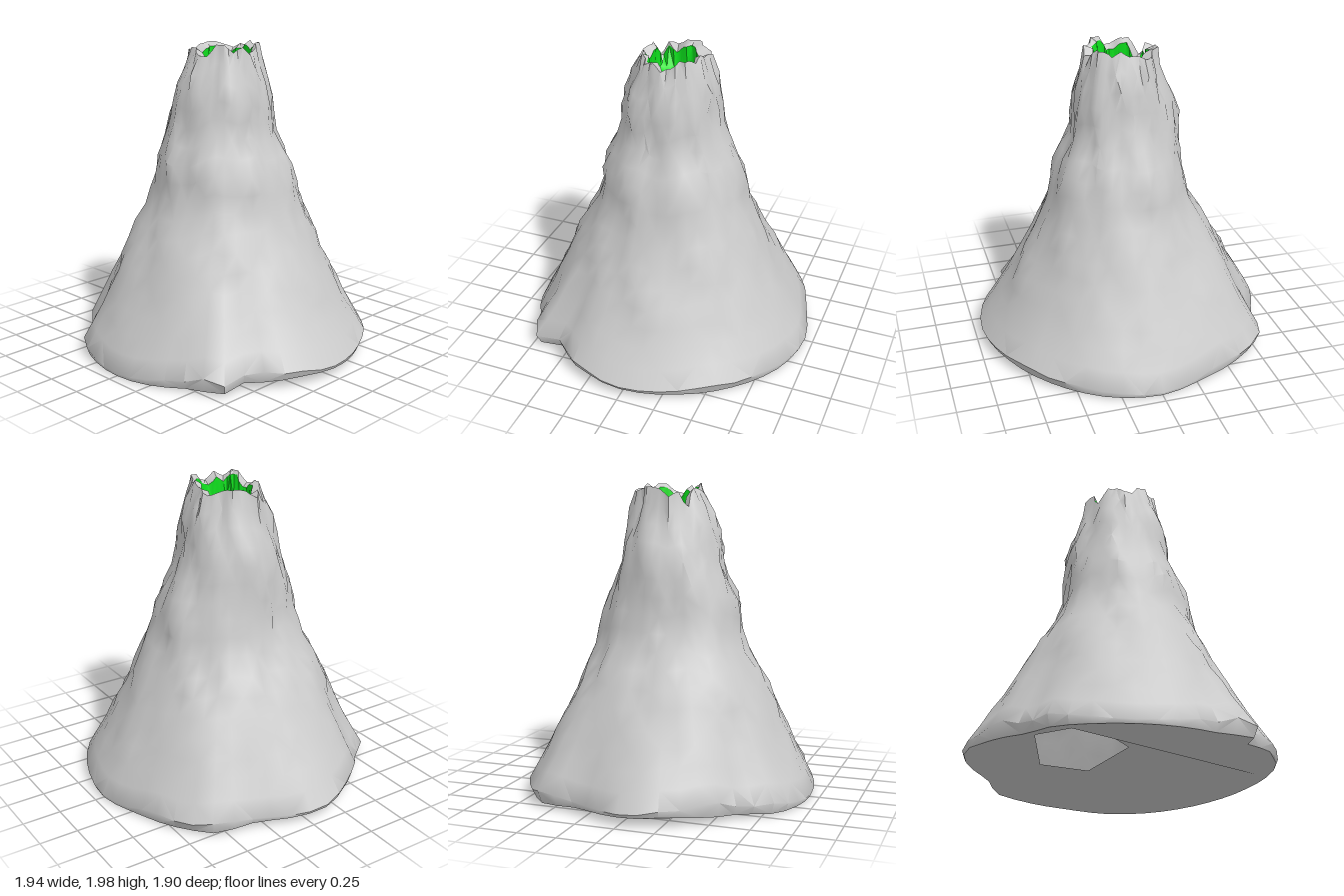
import * as THREE from 'three';
import { toCreasedNormals } from 'three/addons/utils/BufferGeometryUtils.js';

const SEG = 48;
const ROWS = 18;
const TAU = Math.PI * 2;

// Linear lookup in a list of [key, value] pairs
function lookup(table, k) {
  if (k <= table[0][0]) return table[0][1];
  for (let i = 1; i < table.length; i++) {
    const [k0, v0] = table[i - 1], [k1, v1] = table[i];
    if (k <= k1) return v0 + (v1 - v0) * (k - k0) / (k1 - k0);
  }
  return table[table.length - 1][1];
}

// Slope profiles [height, radius] towards +x, +z, -x, -z
const PROFILES = [
  [[0.1, 0.96], [0.3, 0.82], [0.6, 0.66], [0.8, 0.55], [1, 0.48], [1.2, 0.44], [1.45, 0.31], [1.67, 0.31], [1.95, 0.22]],
  [[0.02, 0.94], [0.36, 0.78], [0.6, 0.68], [0.8, 0.59], [1, 0.48], [1.28, 0.45], [1.46, 0.36], [1.75, 0.31], [1.98, 0.2]],
  [[0.1, 0.96], [0.3, 0.84], [0.5, 0.74], [0.78, 0.57], [1, 0.43], [1.2, 0.39], [1.55, 0.37], [1.7, 0.3], [1.83, 0.25], [1.97, 0.24]],
  [[0.05, 0.95], [0.3, 0.82], [0.6, 0.67], [0.8, 0.58], [1, 0.49], [1.2, 0.45], [1.5, 0.31], [1.8, 0.28], [1.98, 0.2]],
];

// Ragged foot outline [degrees from +x towards +z, radius]
const FOOT = [
  [0, 0.965], [3, 0.97], [22, 0.945], [38, 0.89], [46, 1.02], [57, 0.93], [80, 0.945], [102, 0.95], [118, 0.96],
  [132, 0.885], [143, 0.914], [157, 0.936], [170, 0.985], [181, 0.96], [200, 0.89], [217, 0.99],
  [236, 0.95], [251, 0.92], [270, 0.95], [291, 0.95], [316, 0.94], [338, 0.94], [360, 0.965],
];

// Hole in the underside, as [x, z]
const HOLE = [[0.01, 0.37], [-0.2, -0.09], [-0.5, 0], [-0.54, 0.61], [-0.34, 0.79], [-0.08, 0.56]];

// Repeatable value from two integers, in -1..1
function hash(i, j) {
  const s = Math.sin(i * 127.1 + j * 311.7) * 43758.5453;
  return (s - Math.floor(s)) * 2 - 1;
}

const angle = (i) => ((i % SEG) / SEG) * TAU;
const polar = (a, r, y) => [Math.cos(a) * r, y, Math.sin(a) * r];
const diagonal = (a) => Math.sin(2 * a) ** 2;

// Underside bends down to the front and the back from a crosswise ridge
const underY = (z) => 0.08 - (z > 0.25 ? 0.1 * (z - 0.25) : 0.056 * (0.25 - z));

// Widest line of the foot, just above its lower edge
function shoulderY(i) {
  const a = angle(i);
  return underY(0.93 * Math.sin(a)) + 0.02 + 0.06 * diagonal(a) * (1 + 0.4 * hash(i % SEG, 90));
}

// Jagged crater edge, two segments per tooth, with a notch on the front right
function topY(i) {
  const k = i % SEG, half = SEG / 2, tooth = Math.floor(k / 2);
  const h = k % 2 ? (hash(tooth, 50) + hash((tooth + 1) % half, 50)) / 2 : hash(tooth, 50);
  const notch = 0.1 * Math.exp(-(((angle(i) - 2.4) / 0.15) ** 2));
  return 1.955 + 0.042 * h - notch;
}

// Radius at a height; the foot outline fades out upwards from the shoulder
function slopeRadius(a, y, low) {
  const q = (a / TAU) * 4, n = Math.floor(q) % 4, t = q - Math.floor(q);
  const blend = t * t * (3 - 2 * t);
  const at = (h) => lookup(PROFILES[n], h) * (1 - blend) + lookup(PROFILES[(n + 1) % 4], h) * blend;
  const foot = lookup(FOOT, (a / TAU) * 360) / at(low);
  const fade = Math.max(0, 1 - (y - low) / 0.8);
  const bulge = 0.025 * Math.max(0, -Math.sin(2 * a)) * Math.exp(-(((y - 0.85) / 0.25) ** 2));
  return at(y) * (1 + (foot - 1) * fade) + bulge;
}

// Rocky slope: undercut foot edge, shoulder, then rows up to the crater edge
function slopePoint(i, j) {
  const a = angle(i), low = shoulderY(i);
  if (j === 0) {
    const r = slopeRadius(a, low, low) * (0.99 - 0.02 * diagonal(a));
    return polar(a, r, underY(r * Math.sin(a)));
  }
  const y = low + ((j - 1) / (ROWS - 1)) * (topY(i) - low);
  const rise = Math.min(1, (j - 1) / 4);
  const gully = 0.007 * Math.sin(a * 5 + y * 3) + 0.007 * Math.sin(a * 9 - y * 6);
  const rough = 0.014 * hash(i % SEG, j);
  return polar(a, slopeRadius(a, y, low) + rise * (gully + rough - 0.006), y);
}

// Uneven crater mouth, inside the top edge and wider at the notch
function mouthPoint(i) {
  const a = angle(i);
  const notch = 0.05 * Math.exp(-(((a - 2.5) / 0.2) ** 2));
  return polar(a, 0.172 + notch + 0.02 * hash(i % SEG, 70), topY(i) - 0.025);
}

// Skin closed rings; point(i, j) gives corner i of ring j
function skin(rings, point, crease) {
  const pos = [], index = [];
  for (let j = 0; j < rings; j++)
    for (let i = 0; i < SEG; i++) pos.push(...point(i, j));
  for (let j = 0; j < rings - 1; j++)
    for (let i = 0; i < SEG; i++) {
      const a = j * SEG + i, b = j * SEG + ((i + 1) % SEG), c = a + SEG, d = b + SEG;
      // Alternate the diagonal for a rougher surface
      if ((i + j) % 2) index.push(a, c, b, b, c, d);
      else index.push(a, c, d, a, d, b);
    }
  const g = new THREE.BufferGeometry();
  g.setAttribute('position', new THREE.Float32BufferAttribute(pos, 3));
  g.setIndex(index);
  return toCreasedNormals(g, crease);
}

// Underside stretched from the foot edge to the rim of the hole
function undersideGeometry() {
  const outline = Array.from({ length: SEG }, (_, i) => {
    const [x, , z] = slopePoint(i, 0);
    return new THREE.Vector2(x, z);
  });
  const shape = new THREE.Shape(outline);
  shape.holes.push(new THREE.Path(HOLE.map(([x, z]) => new THREE.Vector2(x, z))));
  const g = new THREE.ShapeGeometry(shape);
  const p = g.attributes.position;
  for (let k = 0; k < p.count; k++) p.setXYZ(k, p.getX(k), underY(p.getY(k)), p.getY(k));
  return toCreasedNormals(g, 0.3);
}

export function createModel() {
  const group = new THREE.Group();
  const rock = new THREE.MeshStandardMaterial({ color: 0xcccccc, side: THREE.DoubleSide });
  const lava = new THREE.MeshStandardMaterial({ color: 0x0ce01c, side: THREE.DoubleSide });
  const add = (name, geometry, material) => {
    const mesh = new THREE.Mesh(geometry, material);
    mesh.name = name;
    group.add(mesh);
  };

  add('mountainSlope', skin(ROWS + 1, slopePoint, 0.9), rock);

  // Rock lip folding over into the crater
  add('craterLip', skin(2, (i, j) => (j ? mouthPoint(i) : slopePoint(i, ROWS)), 0.9), rock);

  // Coloured bowl: steep wall, then a shallow floor
  add('craterBowl', skin(4, (i, j) => {
    if (j === 0) return mouthPoint(i);
    const r = [0, 0.17, 0.12, 0.001][j], y = [0, 1.8, 1.77, 1.76][j];
    return polar(angle(i), r + (j < 3 ? 0.008 * hash(i, j + 80) : 0), y);
  }, 0.7), lava);

  add('underside', undersideGeometry(), rock);

  return group;
}
